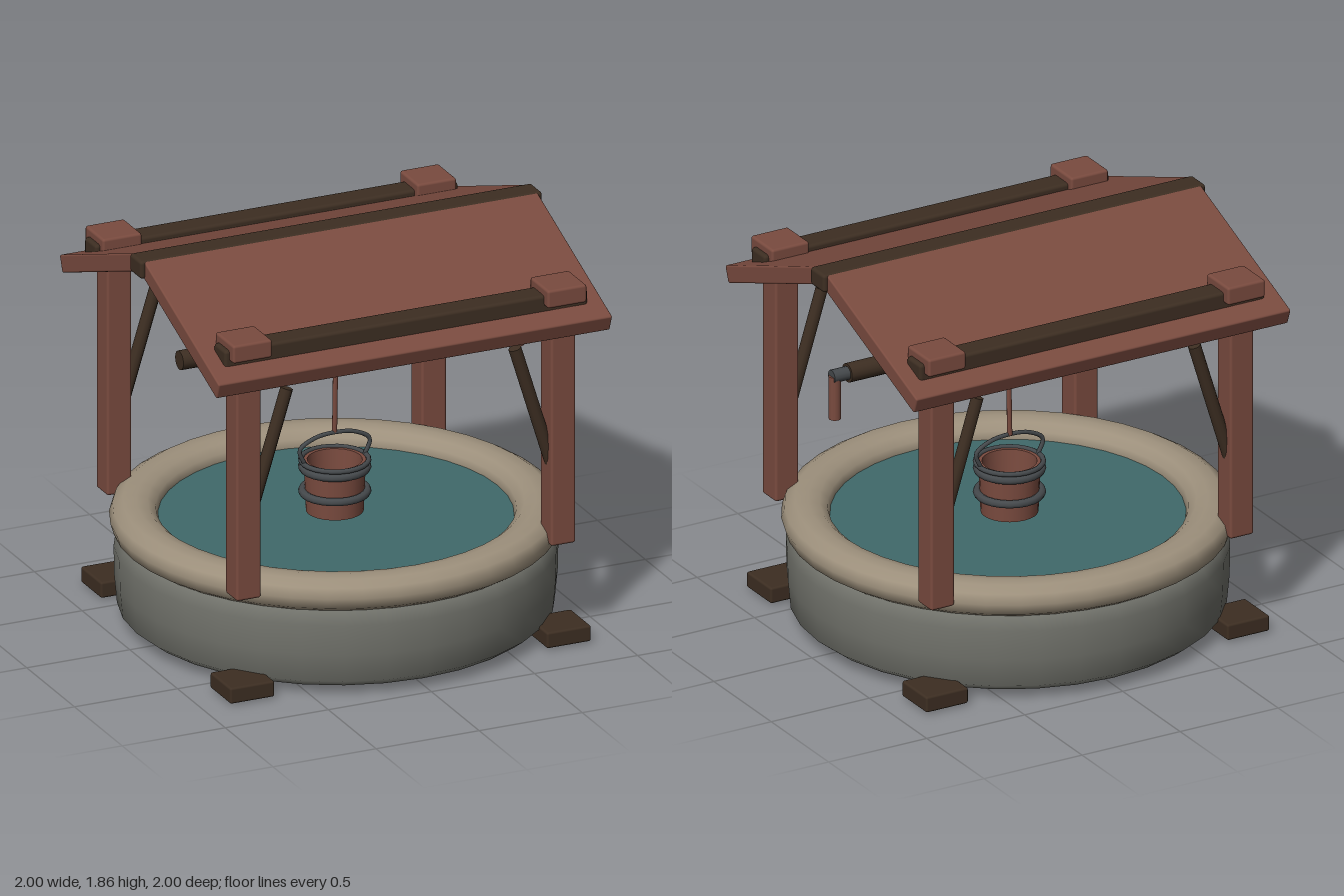
import * as THREE from 'three';
import { RoundedBoxGeometry } from 'three/addons/geometries/RoundedBoxGeometry.js';

const mat = (name, color, side = THREE.FrontSide) => {
  const m = new THREE.MeshStandardMaterial({ color, side });
  m.name = name;
  return m;
};

export function createModel() {
  const group = new THREE.Group();
  const wood = mat('red wood', 0x7a4b3f);
  const darkWood = mat('dark wood', 0x3d2e22);
  const stone = mat('grey stone', 0x70716a);
  const rimStone = mat('beige stone', 0x9d907c);
  const metal = mat('iron', 0x45494c);
  const waterMat = mat('water', 0x40696a, THREE.DoubleSide);

  const add = (name, geometry, material, x = 0, y = 0, z = 0, parent = group) => {
    const m = new THREE.Mesh(geometry, material);
    m.name = name;
    m.position.set(x, y, z);
    parent.add(m);
    return m;
  };
  const box = (name, material, w, h, d, x, y, z, r = 0.012) =>
    add(name, new RoundedBoxGeometry(w, h, d, 2, r), material, x, y, z);
  const lathe = (name, material, points, segments = 32) =>
    add(name, new THREE.LatheGeometry(points.map(p => new THREE.Vector2(...p)), segments), material);
  // Cylinder between two points
  const rod = (name, material, a, b, r, sides = 12) => {
    const p = new THREE.Vector3(...a), q = new THREE.Vector3(...b);
    const m = add(name, new THREE.CylinderGeometry(r, r, p.distanceTo(q), sides), material);
    m.position.copy(p).lerp(q, 0.5);
    m.quaternion.setFromUnitVectors(new THREE.Vector3(0, 1, 0), q.sub(p).normalize());
    return m;
  };
  const ring = (name, material, radius, tube, y, parent, segments = 32) => {
    const m = add(name, new THREE.TorusGeometry(radius, tube, 8, segments), material, 0, y, 0, parent);
    m.rotation.x = Math.PI / 2;
    return m;
  };

  // Stone basin: outer shell and inner wall
  lathe('basinOuter', stone, [[0.62, 0], [0.84, 0.005], [0.92, 0.035], [0.965, 0.07],
    [0.977, 0.2], [0.98, 0.34], [0.95, 0.4], [0.9, 0.42]]);
  lathe('basinInner', stone, [[0.79, 0.42], [0.72, 0.3], [0.64, 0.04], [0.62, 0]]);

  // Rounded coping ring
  lathe('copingRing', rimStone, [[0.82, 0.41], [0.88, 0.4], [0.945, 0.4], [0.985, 0.425], [1, 0.475],
    [0.985, 0.52], [0.94, 0.547], [0.88, 0.55], [0.83, 0.54], [0.795, 0.51], [0.785, 0.475],
    [0.795, 0.435], [0.82, 0.41]], 40);
  ring('innerHoop', metal, 0.775, 0.02, 0.45, group, 40);
  const water = add('water', new THREE.CircleGeometry(0.785, 40), waterMat, 0, 0.475, 0);
  water.rotation.x = -Math.PI / 2;

  // Posts, feet, braces and caps at the four corners
  for (const sx of [-1, 1]) for (const sz of [-1, 1]) {
    box('post', wood, 0.12, 1.14, 0.12, sx * 0.763, 1.04, sz * 0.678);
    box('foot', darkWood, 0.215, 0.075, 0.215, sx * 0.768, 0.047, sz * 0.678, 0.01);
    box('capBlock', wood, 0.19, 0.085, 0.19, sx * 0.763, 1.663, sz * 0.683);
    rod('brace', darkWood, [sx * 0.553, 1.42, sz * 0.678], [sx * 0.735, 0.83, sz * 0.678], 0.029, 10);
  }

  // Roof slabs, eave beams and ridge
  for (const s of [-1, 1]) {
    const slab = box('roofSlab', wood, 1.91, 0.08, 0.845, 0, 1.672, s * 0.427, 0.008);
    slab.rotation.x = s * 0.363;
    box('eaveBeam', darkWood, 1.76, 0.12, 0.12, 0, 1.61, s * 0.678, 0.015);
  }
  box('ridgeBeam', darkWood, 1.95, 0.085, 0.12, 0, 1.818, 0, 0.015);

  // Windlass with crank
  rod('axle', darkWood, [-0.76, 1.335, 0], [0.82, 1.335, 0], 0.044, 16);
  rod('crankArm', metal, [0.81, 1.335, 0], [0.9, 1.335, 0], 0.031);
  rod('crankHandle', wood, [0.883, 1.13, 0], [0.883, 1.335, 0], 0.028);
  rod('rope', wood, [0, 1.335, 0], [0, 0.855, -0.015], 0.012, 8);

  // Bucket with floor, hoops and bail
  const bucket = new THREE.Group();
  bucket.name = 'bucket';
  bucket.position.z = -0.013;
  group.add(bucket);
  const profile = [[0, 0.49], [0.128, 0.49], [0.138, 0.73], [0.122, 0.73], [0.115, 0.62], [0, 0.62]];
  for (let i = 0; i < profile.length - 1; i++) {
    const pts = [profile[i], profile[i + 1]].map(p => new THREE.Vector2(...p));
    add('bucketWall', new THREE.LatheGeometry(pts, 24), wood, 0, 0, 0, bucket);
  }
  ring('lowerHoop', metal, 0.143, 0.019, 0.583, bucket, 24);
  ring('upperHoop', metal, 0.143, 0.019, 0.698, bucket, 24);
  ring('rimHoop', metal, 0.15, 0.012, 0.73, bucket, 24);
  const bail = new THREE.CatmullRomCurve3([[-0.145, 0.73], [-0.17, 0.8], [-0.1, 0.845], [0, 0.858],
    [0.1, 0.845], [0.17, 0.8], [0.145, 0.73]].map(([x, y]) => new THREE.Vector3(x, y, 0)));
  add('bail', new THREE.TubeGeometry(bail, 32, 0.01, 8), metal, 0, 0, 0, bucket);

  return group;
}
